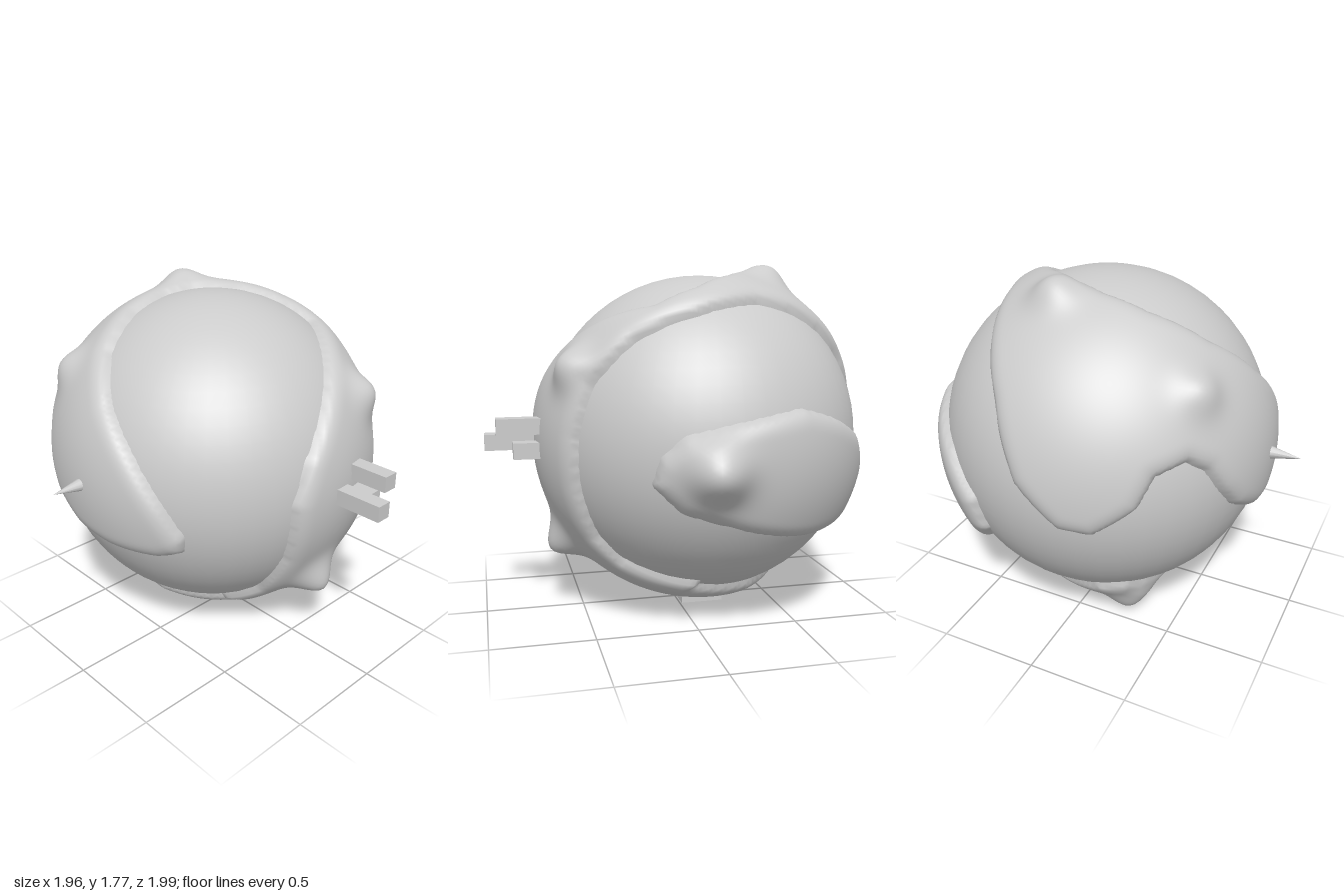
import * as THREE from 'three';
import { mergeVertices } from 'three/addons/utils/BufferGeometryUtils.js';

const R = 0.815;
const CENTER = new THREE.Vector3(-0.12, 0.905, -0.01);
const V = (x, y, z) => new THREE.Vector3(x, y, z);
const dir = (x, y, z) => V(x, y, z).sub(CENTER).normalize();
const depth = (a, b) => Math.sqrt(Math.max(0, R * R - a * a - b * b));

// Points on the globe given by two coordinates, seen from one side
const front = (x, y) => dir(x, y, CENTER.z + depth(x - CENTER.x, y - CENTER.y));
const right = (z, y) => dir(CENTER.x + depth(z - CENTER.z, y - CENTER.y), y, z);
const up = (x, z) => dir(x, CENTER.y + depth(x - CENTER.x, z - CENTER.z), z);
const down = (x, z) => dir(x, CENTER.y - depth(x - CENTER.x, z - CENTER.z), z);

// Shoreline of the long land that wraps front, top, right side and bottom
const mainShore = [
  front(0.37, 0.77), front(0.30, 0.92), front(0.15, 1.13), front(-0.05, 1.32), front(-0.24, 1.5),
  up(-0.34, 0.3), up(-0.35, 0.1), up(-0.31, -0.05), up(-0.18, -0.24), up(0, -0.37), up(0.19, -0.4),
  right(-0.26, 1.49), right(-0.02, 1.28), right(0.14, 1.09), right(0.22, 0.9), right(0.2, 0.58),
  right(0.2, 0.34), right(0.27, 0.22), front(0.25, 0.21), front(-0.1, 0.2), front(-0.45, 0.26),
  front(-0.58, 0.31), dir(-0.63, 0.27, 0.18), down(-0.51, -0.13), down(-0.32, -0.33), down(0, -0.42),
  right(-0.47, 0.24), right(-0.38, 0.36), right(-0.38, 0.48), right(-0.43, 0.74), right(-0.45, 0.96),
  right(-0.46, 1.2), up(0.3, -0.5), up(0, -0.53), up(-0.29, -0.45), up(-0.66, -0.32),
  dir(-0.80, 1.29, -0.21), dir(-0.92, 0.99, -0.06), dir(-0.9, 0.81, 0.13), dir(-0.86, 0.79, 0.28),
  front(-0.79, 0.92), front(-0.73, 1.06), front(-0.62, 1.1), front(-0.55, 1.04), front(-0.49, 0.92),
  front(-0.39, 0.79), front(-0.2, 0.68), front(0, 0.645), front(0.25, 0.65), front(0.35, 0.69),
];

// Shoreline of the smaller land at the back
const backShore = [
  dir(0.27, 0.78, -0.71), dir(0.24, 0.9, -0.74), dir(0.14, 1.0, -0.78), dir(-0.19, 1.07, -0.8),
  dir(-0.4, 1.1, -0.74), dir(-0.6, 1.04, -0.64), dir(-0.75, 0.96, -0.51), dir(-0.85, 0.78, -0.34),
  dir(-0.81, 0.61, -0.3), dir(-0.73, 0.49, -0.36), dir(-0.6, 0.48, -0.53), dir(-0.45, 0.49, -0.63),
  dir(-0.25, 0.53, -0.72), dir(-0.05, 0.59, -0.76), dir(0.15, 0.65, -0.75),
];

// Mountains: tip offset from the globe's centre, and width
const mainPeaks = [
  [V(-0.40, 0.50, 0.66), 0.12], [V(-0.36, 0.86, -0.10), 0.13], [V(0.76, 0.40, -0.37), 0.12],
  [V(0.79, -0.58, -0.03), 0.12], [V(-0.33, -0.86, 0.28), 0.13],
];
const backPeaks = [[V(0.15, -0.06, -0.978), 0.15]];

const openSea = front(-0.3, 0.5);

// Do the great-circle arcs a-b and c-d cross?
function arcsCross(a, b, nAB, c, d, nCD) {
  if (nAB.dot(c) * nAB.dot(d) >= 0 || nCD.dot(a) * nCD.dot(b) >= 0) return false;
  const x = nAB.clone().cross(nCD);
  return (x.dot(a) + x.dot(b)) * (x.dot(c) + x.dot(d)) > 0;
}

// Distance to the shoreline, positive on land
function makeShoreDistance(shore) {
  const edges = shore.map((a, i) => {
    const b = shore[(i + 1) % shore.length];
    return { a, b, n: a.clone().cross(b), line: new THREE.Line3(a, b) };
  });
  const near = V(0, 0, 0);
  return (p) => {
    const n = p.clone().cross(openSea);
    let best = Infinity, inside = false;
    for (const e of edges) {
      e.line.closestPointToPoint(p, true, near);
      best = Math.min(best, near.normalize().distanceTo(p));
      if (arcsCross(p, openSea, n, e.a, e.b, e.n)) inside = !inside;
    }
    return (inside ? best : -best) * R;
  };
}

// Raised land: a globe shell lifted inside the shoreline, sea part removed
function makeLand(name, shore, peaks, material) {
  const rise = 0.05, slope = 0.09, sunk = -0.035;
  const distance = makeShoreDistance(shore);
  let geo = new THREE.IcosahedronGeometry(1, 46);
  geo.deleteAttribute('uv');
  geo.deleteAttribute('normal');
  geo = mergeVertices(geo, 1e-5);
  const pos = geo.attributes.position, p = V(0, 0, 0), heights = [];
  for (let i = 0; i < pos.count; i++) {
    p.fromBufferAttribute(pos, i).normalize();
    const d = distance(p);
    let h;
    if (d < 0) h = Math.max(sunk, d * 1.2);
    else {
      const t = Math.min(1, d / slope);
      h = rise * Math.sqrt(1 - (1 - t) ** 2);
      for (const [tip, width] of peaks) {
        const away = p.distanceTo(tip.clone().normalize()) * R;
        h += (tip.length() - R - rise) * Math.exp(-((away / width) ** 2) * 1.6) * Math.min(1, t * 1.5);
      }
    }
    heights.push(h);
    p.multiplyScalar(R + h);
    pos.setXYZ(i, p.x, p.y, p.z);
  }
  geo.computeVertexNormals();
  const index = geo.index.array, kept = [];
  for (let i = 0; i < index.length; i += 3) {
    const tri = [index[i], index[i + 1], index[i + 2]];
    if (tri.some((k) => heights[k] > sunk + 0.001)) kept.push(...tri);
  }
  geo.setIndex(kept);
  const mesh = new THREE.Mesh(geo, material);
  mesh.name = name;
  mesh.position.copy(CENTER);
  return mesh;
}

export function createModel() {
  const group = new THREE.Group();
  group.name = 'planet';
  const material = new THREE.MeshStandardMaterial({ color: 0xcccccc });
  const add = (name, geometry, x, y, z) => {
    const mesh = new THREE.Mesh(geometry, material);
    mesh.name = name;
    mesh.position.set(x, y, z);
    group.add(mesh);
    return mesh;
  };

  // Globe and its lands
  add('ocean', new THREE.SphereGeometry(R, 48, 32), CENTER.x, CENTER.y, CENTER.z);
  group.add(makeLand('mainLand', mainShore, mainPeaks, material));
  group.add(makeLand('backLand', backShore, backPeaks, material));

  // Spike on the front
  add('spike', new THREE.ConeGeometry(0.045, 0.22, 12), -0.12, 0.945, 0.89).rotation.x = Math.PI / 2;

  // Three towers on the left side: height, depth position and outer end
  for (const [y, z, end] of [[0.985, -0.155, 0.93], [0.895, -0.04, 0.985], [0.865, -0.155, 0.85]]) {
    add('tower', new THREE.BoxGeometry(end - 0.65, 0.08, 0.08), (end + 0.65) / 2, y, z);
  }

  // Square block underneath
  add('baseBlock', new THREE.BoxGeometry(0.22, 0.14, 0.21), -0.12, 0.07, -0.015);

  return group;
}
